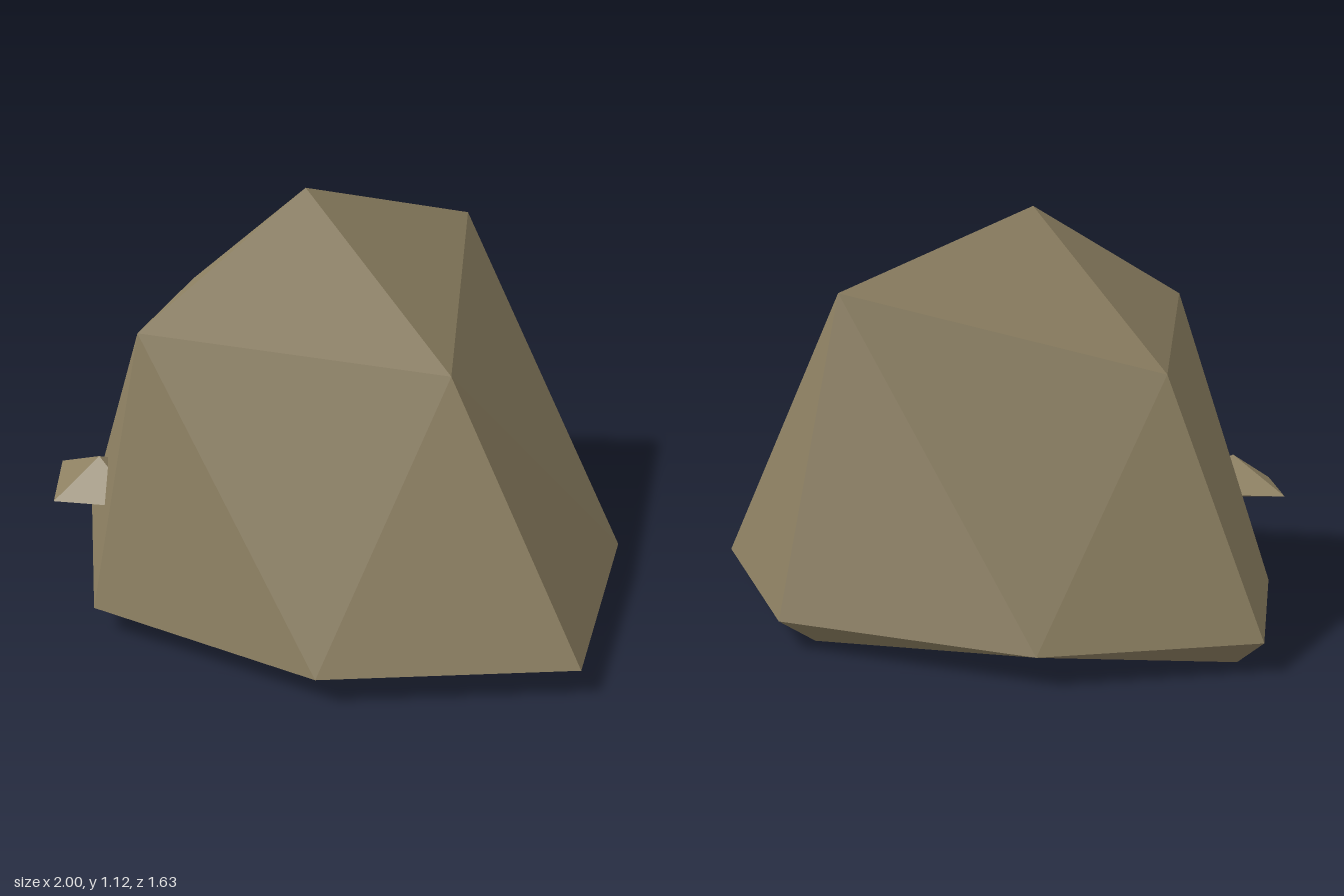
import * as THREE from 'three';

const V = (x, y, z) => new THREE.Vector3(x, y, z);

// Builds outward-facing triangles from a list of corner triples.
function facetMesh(name, triangles, material) {
  const geometry = new THREE.BufferGeometry().setFromPoints(triangles.flat());
  geometry.computeVertexNormals();
  const mesh = new THREE.Mesh(geometry, material);
  mesh.name = name;
  return mesh;
}

// One half of the boulder: pole, ring of 4 middle corners, rim of 8 corners.
function dome(pole, mid, rim, upper) {
  const faces = [];
  for (let i = 0; i < 4; i++) {
    const j = (i + 1) % 4;
    const axisA = rim[2 * i], diagonal = rim[2 * i + 1], axisB = rim[2 * j];
    faces.push([pole, mid[j], mid[i]], [mid[i], diagonal, axisA],
      [mid[i], mid[j], diagonal], [mid[j], axisB, diagonal]);
  }
  return upper ? faces : faces.map(([a, b, c]) => [a, c, b]);
}

export function createModel() {
  const group = new THREE.Group();
  group.name = 'rock';
  const stone = new THREE.MeshStandardMaterial({ color: 0x8c7f61, flatShading: true });
  stone.name = 'stone';

  // Rim where the crown meets the undercut base, going from +x to +z
  const rim = [
    [1, 0.035], [0.58, 0.58], [-0.09, 0.81], [-0.62, 0.47],
    [-1, 0.035], [-0.73, -0.48], [-0.09, -0.82], [0.63, -0.56],
  ].map(([x, z]) => V(x, 0.075, z));

  // Crown
  const crownMid = [V(0.5, 0.74, 0.035), V(-0.09, 0.84, 0.62),
    V(-0.64, 0.71, 0.035), V(-0.09, 0.92, -0.62)];
  group.add(facetMesh('crown', dome(V(-0.09, 1.125, 0.035), crownMid, rim, true), stone));

  // Undercut base
  const baseMid = [V(0.78, 0, 0.035), V(-0.09, 0.007, 0.6),
    V(-0.91, 0.002, 0.035), V(-0.09, 0, -0.71)];
  group.add(facetMesh('base', dome(V(-0.09, 0.002, 0.035), baseMid, rim, false), stone));

  // Small chip sticking out of the front
  const top = V(-0.35, 0.378, 0.6), bottom = V(-0.35, 0.25, 0.6);
  const belt = [V(-0.156, 0.287, 0.6), V(-0.35, 0.287, 0.76),
    V(-0.557, 0.287, 0.6), V(-0.35, 0.287, 0.39)];
  const chip = belt.flatMap((a, i) => {
    const b = belt[(i + 1) % 4];
    return [[top, b, a], [bottom, a, b]];
  });
  group.add(facetMesh('chip', chip, stone));
  return group;
}
